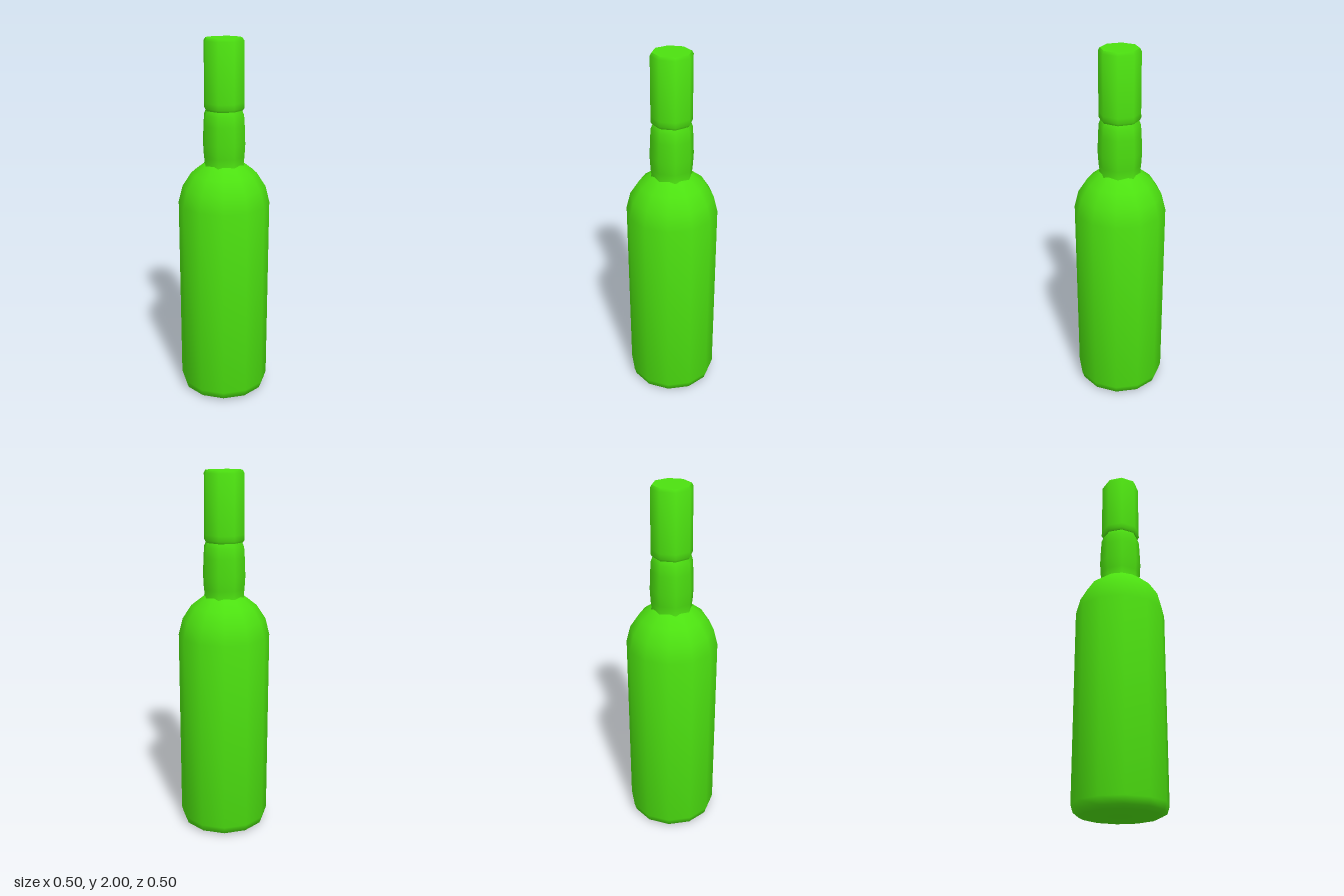
import * as THREE from 'three';
import { toCreasedNormals } from 'three/addons/utils/BufferGeometryUtils.js';

const TWIST = -0.02; // slight turn of all rings about the axis

export function createModel() {
  const bottle = new THREE.Group();
  bottle.name = 'bottle';
  const green = new THREE.MeshStandardMaterial({ name: 'green glass', color: 0x4ce010 });

  // Turned part from [radius, height] pairs, listed from bottom to top
  function turned(name, sides, profile) {
    const points = profile.map(([r, y]) => new THREE.Vector2(r, y));
    const geometry = new THREE.LatheGeometry(points, sides, TWIST, Math.PI * 2);
    const mesh = new THREE.Mesh(toCreasedNormals(geometry, 0.95), green);
    mesh.name = name;
    bottle.add(mesh);
  }

  // Twelve-sided body with a bevelled foot and rounded shoulder
  turned('body', 12, [
    [0, 0], [0.21, 0], [0.238, 0.015], [0.25, 0.055], [0.25, 1.12],
    [0.227, 1.21], [0.178, 1.285], [0.122, 1.328], [0.095, 1.345], [0, 1.35],
  ]);

  // Eight-sided neck, swelling slightly above the shoulder
  turned('neck', 8, [
    [0, 1.29], [0.115, 1.32], [0.11, 1.345], [0.114, 1.38], [0.118, 1.45],
    [0.114, 1.55], [0.11, 1.605], [0.1, 1.63], [0, 1.63],
  ]);

  // Eight-sided cap with softened rims
  turned('cap', 8, [
    [0, 1.63], [0.104, 1.63], [0.111, 1.642], [0.11, 1.67],
    [0.109, 1.985], [0.1, 2], [0, 2],
  ]);

  return bottle;
}
